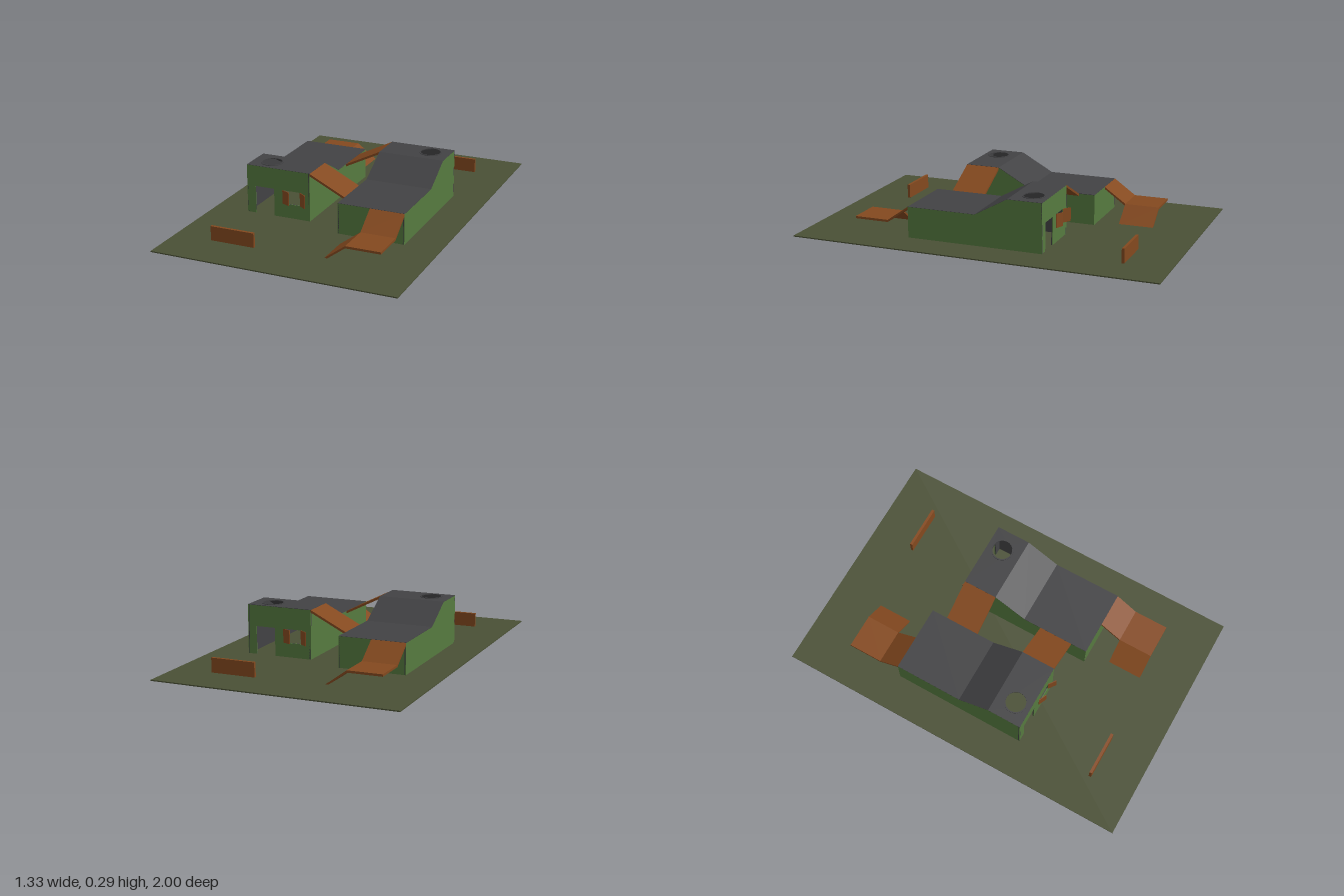
import * as THREE from 'three';

const mat = (color) => new THREE.MeshStandardMaterial({ color, side: THREE.DoubleSide });

const GROUND = 0.017, LOW = 0.185, HIGH = 0.285;
const X0 = -0.47, X1 = -0.1;             // bunker sides
const BACK = -0.42, FOOT = -0.04, CREST = 0.14, FRONT = 0.33; // roof breaks along z
const T = 0.004;                         // wall sheet thickness

function mesh(name, geometry, material) {
  const m = new THREE.Mesh(geometry, material);
  m.name = name;
  return m;
}

const toShape = (pts) => new THREE.Shape(pts.map(([a, b]) => new THREE.Vector2(a, b)));
const extrude = (shape, depth) =>
  new THREE.ExtrudeGeometry(shape, { depth, bevelEnabled: false, curveSegments: 10 });

// outline in (x, y), pushed along z from z0 to z1
const alongZ = (shape, z0, z1) => extrude(shape, z1 - z0).translate(0, 0, z0);
// outline in (z, y), pushed along x from x0 to x1
const alongX = (shape, x0, x1) => extrude(shape, x1 - x0).rotateY(-Math.PI / 2).translate(x1, 0, 0);
// sloping plank outline with upright ends
const plank = (a, ya, b, yb, t) => toShape([[a, ya], [b, yb], [b, yb - t], [a, ya - t]]);

function box(x0, x1, y0, y1, z0, z1) {
  return new THREE.BoxGeometry(x1 - x0, y1 - y0, z1 - z0)
    .translate((x0 + x1) / 2, (y0 + y1) / 2, (z0 + z1) / 2);
}

// front wall with a doorway open to the ground and a window
function frontShape() {
  const s = toShape([
    [X0, GROUND], [-0.42, GROUND], [-0.42, 0.17], [-0.31, 0.17], [-0.31, GROUND],
    [X1, GROUND], [X1, HIGH], [X0, HIGH],
  ]);
  s.holes.push(toShape([[-0.26, 0.095], [-0.157, 0.095], [-0.157, 0.17], [-0.26, 0.17]]));
  return s;
}

function sideShape() {
  return toShape([
    [BACK, GROUND], [FRONT, GROUND], [FRONT, HIGH], [CREST, HIGH], [FOOT, LOW], [BACK, LOW],
  ]);
}

function circle(Kind, x, y, r) {
  const c = new Kind();
  c.absarc(x, y, r, 0, Math.PI * 2, false);
  return c;
}

function bunker(m) {
  const g = new THREE.Group();
  g.name = 'bunker';

  // green outer walls
  g.add(mesh('frontWall', alongZ(frontShape(), FRONT - T, FRONT), m.green));
  g.add(mesh('backWall', box(X0, X1, GROUND, LOW, BACK, BACK + T), m.green));
  g.add(mesh('outerSideWall', alongX(sideShape(), X0, X0 + T), m.green));
  g.add(mesh('innerSideWall', alongX(sideShape(), X1 - T, X1), m.green));

  // grey lining of the hollow interior
  g.add(mesh('frontLining', alongZ(frontShape(), FRONT - 2 * T, FRONT - T), m.grey));
  g.add(mesh('backLining', box(X0 + T, X1 - T, GROUND, LOW, BACK + T, BACK + 2 * T), m.grey));
  g.add(mesh('outerSideLining', alongX(sideShape(), X0 + T, X0 + 2 * T), m.grey));
  g.add(mesh('innerSideLining', alongX(sideShape(), X1 - 2 * T, X1 - T), m.grey));

  // roof sheets: low deck, slope, and high deck with a round hatch
  const lift = 0.001;
  const sheet = (za, ya, zb, yb) => alongX(plank(za, ya + lift, zb, yb + lift, 0.002), X0, X1);
  g.add(mesh('lowRoof', sheet(BACK, LOW, FOOT, LOW), m.grey));
  g.add(mesh('slopingRoof', sheet(FOOT, LOW, CREST, HIGH), m.grey));
  const deck = toShape([[X0, -FRONT], [X1, -FRONT], [X1, -CREST], [X0, -CREST]]);
  deck.holes.push(circle(THREE.Path, -0.36, -0.245, 0.055));
  g.add(mesh('highRoof', extrude(deck, 0.002).rotateX(-Math.PI / 2)
    .translate(0, HIGH - lift, 0), m.grey));
  const rim = circle(THREE.Shape, -0.36, -0.245, 0.062);
  rim.holes.push(circle(THREE.Path, -0.36, -0.245, 0.055));
  g.add(mesh('hatchRim', extrude(rim, 0.004).rotateX(-Math.PI / 2)
    .translate(0, HIGH, 0), m.grey));

  // half-open window shutters
  for (const [name, x, angle] of [['leftShutter', -0.26, -0.42], ['rightShutter', -0.157, -0.62]]) {
    const s = mesh(name, box(0, 0.05, 0.095, 0.17, -0.002, 0.002), m.brown);
    s.position.set(x, 0, FRONT);
    s.rotation.y = angle;
    g.add(s);
  }

  // bridge down to the other bunker
  g.add(mesh('bridge', alongZ(plank(X1, HIGH, -X1, LOW, 0.013), CREST, FRONT), m.brown));

  // ramp from the low roof, landing, and ramp to the ground
  g.add(mesh('roofRamp', alongX(plank(-0.54, 0.1, BACK, LOW, 0.012), X0, -0.28), m.brown));
  g.add(mesh('landing', box(X0, -0.28, 0.088, 0.1, -0.73, -0.54), m.brown));
  g.add(mesh('groundRamp', alongZ(plank(-0.28, 0.1, -0.16, 0.012, 0.012), -0.73, -0.54), m.brown));

  // free-standing low barrier
  g.add(mesh('barrier', box(-0.455, -0.21, 0.012, 0.095, 0.745, 0.76), m.brown));
  return g;
}

export function createModel() {
  const model = new THREE.Group();
  model.name = 'bunkerYard';
  const m = {
    green: mat(0x567a40),
    grey: mat(0x424244),
    brown: mat(0x84491f),
  };

  model.add(mesh('ground', box(-0.665, 0.665, 0.011, GROUND, -1, 1), mat(0x4a5035)));

  // two identical halves, turned half a circle apart
  for (let i = 0; i < 2; i++) {
    const half = bunker(m);
    half.name = i ? 'leftBunker' : 'rightBunker';
    half.rotation.y = i * Math.PI;
    model.add(half);
  }
  return model;
}
